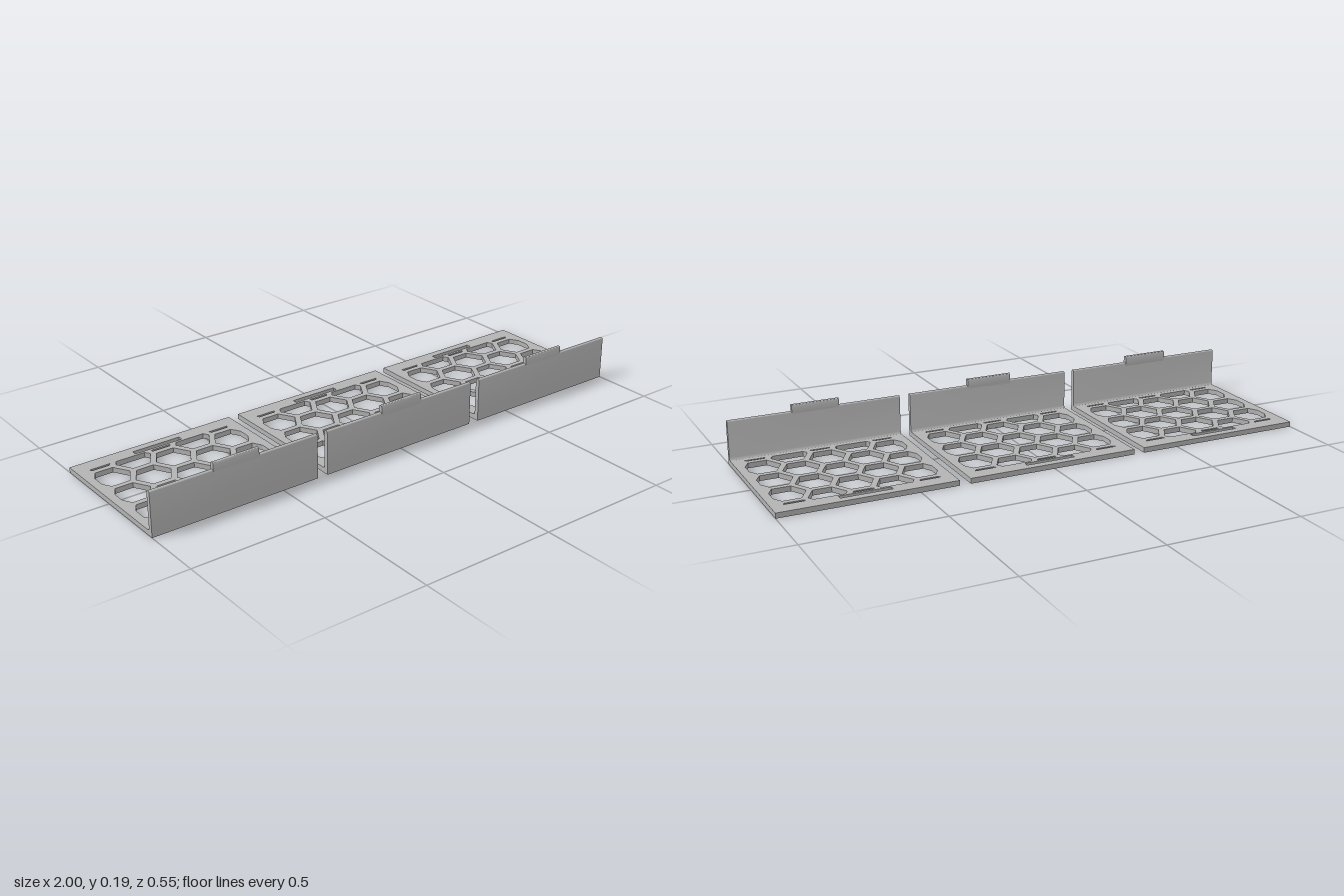
import * as THREE from 'three';
import { toCreasedNormals } from 'three/addons/utils/BufferGeometryUtils.js';

const WIDTH = 0.64, HALF_DEPTH = 0.273, FLOOR = 0.019, WALL = 0.016;
const WINDOW = { x0: -0.29, x1: 0.29, z0: -0.215, z1: 0.233 };
const HEX_R = 0.079, BAR = 0.021;

const polygon = (pts) => pts.map(([x, y]) => new THREE.Vector2(x, y));

// Keep the part of a polygon where sign * (p[axis] - limit) <= 0
function clip(pts, axis, limit, sign) {
  const out = [];
  pts.forEach((a, i) => {
    const b = pts[(i + 1) % pts.length];
    const da = sign * (a[axis] - limit), db = sign * (b[axis] - limit);
    if (da <= 0) out.push(a);
    if (da * db < 0) {
      const t = da / (da - db);
      out.push([a[0] + (b[0] - a[0]) * t, a[1] + (b[1] - a[1]) * t]);
    }
  });
  return out;
}

// Flat-topped honeycomb openings, centred in the window and trimmed to it
function honeycomb() {
  const holes = [];
  const stepX = 1.5 * HEX_R, stepZ = Math.sqrt(3) * HEX_R;
  const r = HEX_R - BAR / Math.sqrt(3);
  for (let col = -3; col <= 3; col++) {
    const cx = col * stepX;
    const shift = col % 2 === 0 ? 0 : 0.5;
    for (let row = -3; row <= 3; row++) {
      const cz = 0.01 + (row + shift) * stepZ;
      let pts = [];
      for (let k = 0; k < 6; k++) {
        const a = k * Math.PI / 3;
        pts.push([cx + r * Math.cos(a), cz + r * Math.sin(a)]);
      }
      pts = clip(pts, 0, WINDOW.x0, -1);
      pts = clip(pts, 0, WINDOW.x1, 1);
      pts = clip(pts, 1, WINDOW.z0, -1);
      pts = clip(pts, 1, WINDOW.z1, 1);
      if (pts.length < 3) continue;
      const path = polygon(pts.map(([x, z]) => [x, -z]));
      if (Math.abs(THREE.ShapeUtils.area(path)) > 0.00003) holes.push(new THREE.Path(path));
    }
  }
  return holes;
}

// Flat shelf with honeycomb and a narrow slot near the back edge
function shelfGeometry() {
  const w = WIDTH / 2, d = HALF_DEPTH;
  const shape = new THREE.Shape(polygon([[-w, -d], [w, -d], [w, d], [-w, d]]));
  shape.holes = honeycomb();
  shape.holes.push(new THREE.Path(polygon([[-0.093, 0.225], [0.093, 0.225], [0.093, 0.244], [-0.093, 0.244]])));
  return new THREE.ExtrudeGeometry(shape, { depth: FLOOR, bevelEnabled: false }).rotateX(-Math.PI / 2);
}

// Upright strip with a rounded top edge, and optionally a fillet at its foot
function uprightGeometry(width, bottom, top, fillet) {
  const r = WALL / 2, outer = HALF_DEPTH, inner = HALF_DEPTH - WALL;
  const shape = new THREE.Shape();
  shape.moveTo(outer, bottom);
  shape.lineTo(outer, top - r);
  shape.absarc(outer - r, top - r, r, 0, Math.PI, false);
  if (fillet > 0) {
    shape.lineTo(inner, bottom + fillet);
    shape.absarc(inner - fillet, bottom + fillet, fillet, 0, -Math.PI / 2, true);
  } else {
    shape.lineTo(inner, bottom);
  }
  shape.closePath();
  const geo = new THREE.ExtrudeGeometry(shape, { depth: width, bevelEnabled: false, curveSegments: 10 });
  geo.rotateY(-Math.PI / 2).translate(width / 2, 0, 0);
  return toCreasedNormals(geo, 0.6);
}

export function createModel() {
  const grey = new THREE.MeshStandardMaterial({ color: 0xb3b3b3 });
  grey.name = 'grey plastic';
  const parts = {
    honeycombShelf: shelfGeometry(),
    frontWall: uprightGeometry(WIDTH, FLOOR, 0.164, 0.01),
    topTab: uprightGeometry(0.175, 0.15, 0.189, 0),
  };

  // Three identical brackets side by side
  const model = new THREE.Group();
  model.name = 'honeycombBrackets';
  ['right', 'middle', 'left'].forEach((side, i) => {
    const bracket = new THREE.Group();
    bracket.name = side + 'Bracket';
    bracket.position.x = (i - 1) * 0.68;
    for (const [name, geo] of Object.entries(parts)) {
      const mesh = new THREE.Mesh(geo, grey);
      mesh.name = name;
      bracket.add(mesh);
    }
    model.add(bracket);
  });
  return model;
}
